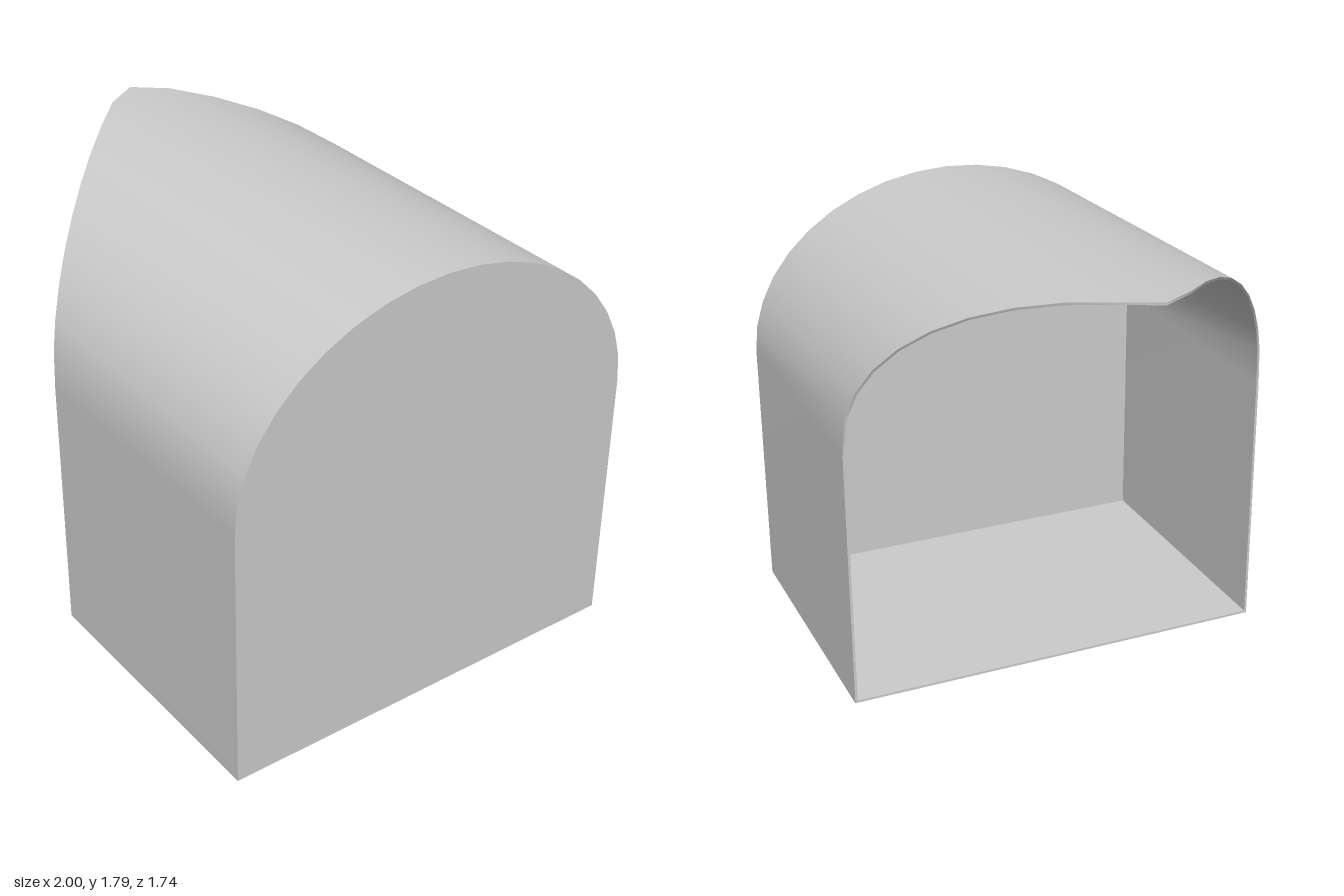
import * as THREE from 'three';
import { mergeGeometries } from 'three/addons/utils/BufferGeometryUtils.js';

const T = 0.01;          // sheet thickness
const HALF = 0.872;      // half width
const SPRING = 1.05;     // height where the arch begins
const RISE = 0.7;        // arch height
const STEPS = 20;
const LIP_LIFT = 0.045;  // how far the hood climbs toward its tip

// Arched cross-section as [z, y, lift], from the +z foot over the top to the -z foot
function section(inset) {
  const pts = [[HALF - inset, T, 0]];
  for (let i = 0; i <= STEPS; i++) {
    const a = (Math.PI * i) / STEPS;
    const lift = i > 0 && i < STEPS ? LIP_LIFT : 0;
    pts.push([(HALF - inset) * Math.cos(a), SPRING + (RISE - inset) * Math.sin(a), lift]);
  }
  pts.push([-(HALF - inset), T, 0]);
  return pts;
}

// Smooth strip of quads between two equally long rows of points
function strip(a, b) {
  const index = [], n = a.length;
  for (let k = 0; k < n - 1; k++) index.push(k, k + 1, n + k, k + 1, n + k + 1, n + k);
  const g = new THREE.BufferGeometry();
  g.setAttribute('position', new THREE.Float32BufferAttribute([...a, ...b].flat(), 3));
  g.setIndex(index);
  g.computeVertexNormals();
  return g;
}

export function createModel() {
  const group = new THREE.Group();
  const material = new THREE.MeshStandardMaterial({ color: 0xcccccc, side: THREE.DoubleSide });
  const add = (name, geometry) => {
    const mesh = new THREE.Mesh(geometry, material);
    mesh.name = name;
    group.add(mesh);
    return mesh;
  };

  // Arched shell with a pointed overhanging hood
  const outer = section(0), inner = section(T);
  const lipX = outer.map(([z]) => Math.max(-1, -1.05 + 1.007 * Math.abs(z)));
  lipX[(lipX.length - 1) / 2] = -1;
  const back = (s) => s.map(([z, y]) => [1, y, z]);
  const lip = (s) => s.map(([z, y, lift], i) => [lipX[i], y + lift, z]);
  const rows = [back(outer), lip(outer), lip(inner), back(inner)];
  add('archedShell', mergeGeometries(rows.map((r, i) => strip(r, rows[(i + 1) % rows.length]))));

  // Closed end wall
  const shape = new THREE.Shape(inner.map(([z, y]) => new THREE.Vector2(z, y)));
  const end = new THREE.ExtrudeGeometry(shape, { depth: T, bevelEnabled: false });
  end.rotateY(Math.PI / 2);
  add('endWall', end).position.x = 1 - T;

  // Floor sheet
  const front = lipX[0];
  add('floor', new THREE.BoxGeometry(1 - front, T, HALF * 2)).position.set((1 + front) / 2, T / 2, 0);

  return group;
}
